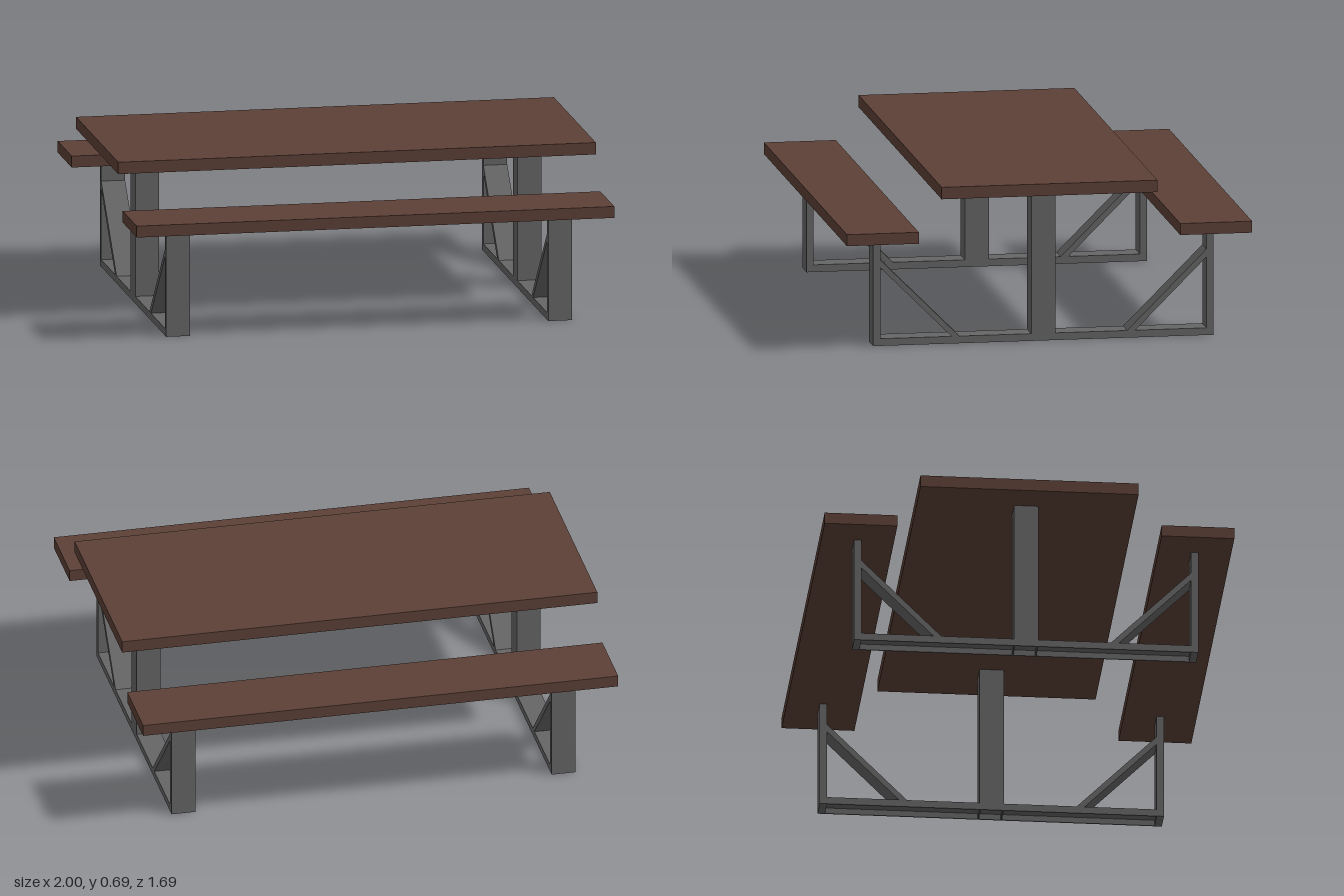
import * as THREE from 'three';

export function createModel() {
  const model = new THREE.Group();
  model.name = 'picnicTable';

  const wood = new THREE.MeshStandardMaterial({ color: 0x5d4037 });
  wood.name = 'brown wood';
  const steel = new THREE.MeshStandardMaterial({ color: 0x666666 });
  steel.name = 'grey steel';

  // Box given by its size and centre in x/z and by its bottom and top in y
  function box(parent, name, material, w, d, y0, y1, x, z) {
    const mesh = new THREE.Mesh(new THREE.BoxGeometry(w, y1 - y0, d), material);
    mesh.name = name;
    mesh.position.set(x, (y0 + y1) / 2, z);
    parent.add(mesh);
  }

  // Boards
  box(model, 'tabletop', wood, 2, 0.9, 0.635, 0.685, 0, 0);
  box(model, 'frontSeat', wood, 2, 0.3, 0.452, 0.5, 0, 0.695);
  box(model, 'backSeat', wood, 2, 0.3, 0.452, 0.5, 0, -0.695);

  // Diagonal brace, drawn in z/y and extruded across the frame's width
  function brace(parent, side) {
    const shape = new THREE.Shape(
      [[0.35, 0.03], [0.383, 0.03], [0.68, 0.327], [0.68, 0.36]]
        .map(([z, y]) => new THREE.Vector2(z * side, y)));
    const geometry = new THREE.ExtrudeGeometry(shape, { depth: 0.1, bevelEnabled: false });
    geometry.translate(0, 0, -0.05).rotateY(-Math.PI / 2);
    const mesh = new THREE.Mesh(geometry, steel);
    mesh.name = side > 0 ? 'frontBrace' : 'backBrace';
    parent.add(mesh);
  }

  // Two mirrored end frames
  for (const end of [-1, 1]) {
    const frame = new THREE.Group();
    frame.name = end > 0 ? 'leftFrame' : 'rightFrame';
    frame.position.x = 0.8 * end;
    model.add(frame);

    // Central post under the tabletop
    box(frame, 'post', steel, 0.1, 0.1, 0.03, 0.635, 0, 0);

    // Base channel, open underneath
    box(frame, 'basePlate', steel, 0.1, 1.36, 0.025, 0.03, 0, 0);
    for (const side of [-1, 1]) {
      box(frame, 'baseFlange', steel, 0.005, 1.36, 0, 0.025, 0.0475 * side, 0);
      box(frame, 'baseRib', steel, 0.09, 0.005, 0, 0.025, 0, 0.0475 * side);

      // Seat leg and its brace
      box(frame, side > 0 ? 'frontLeg' : 'backLeg', steel, 0.1, 0.03, 0, 0.452, 0, 0.695 * side);
      brace(frame, side);
    }
  }
  return model;
}
